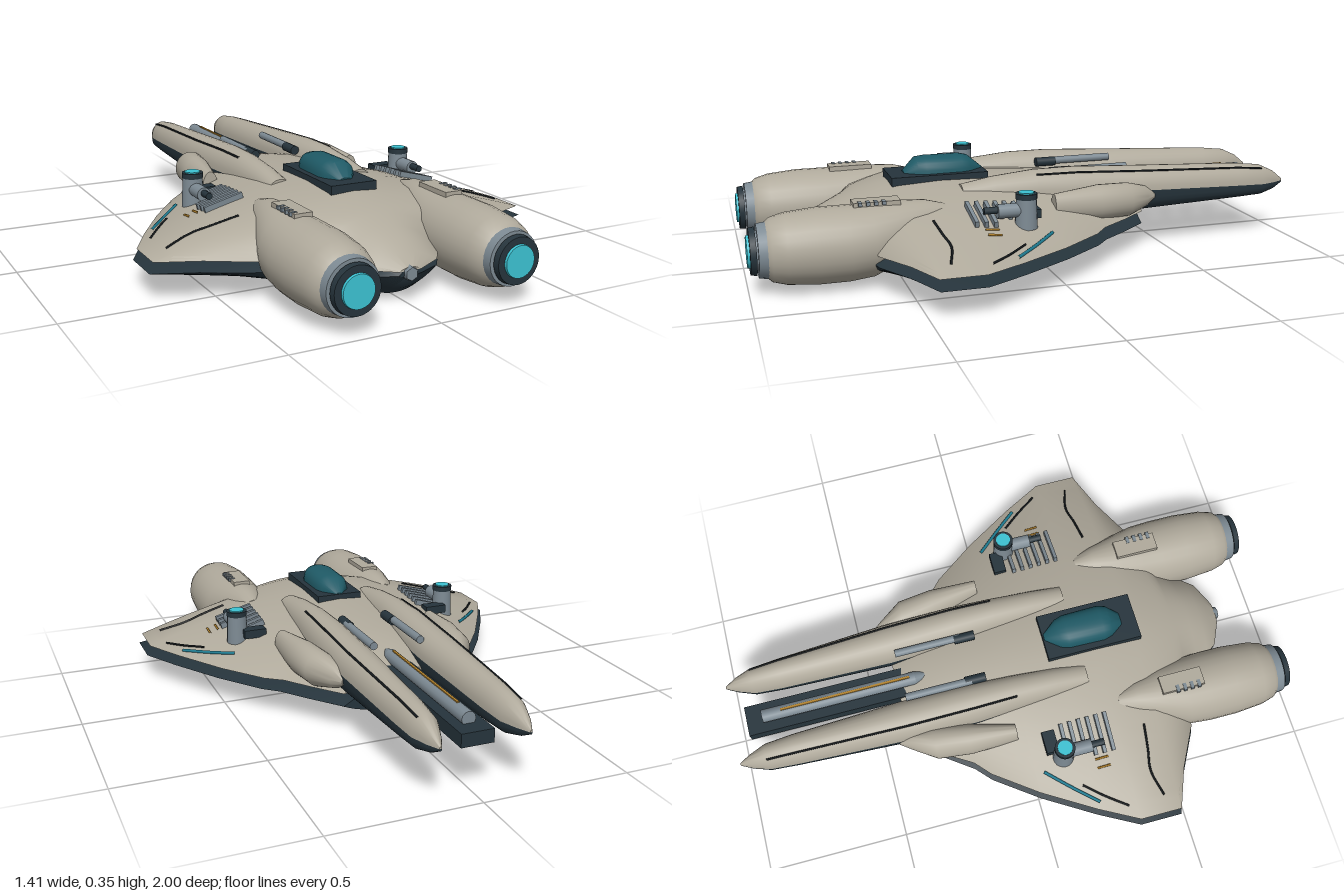
import * as THREE from 'three';
import { toCreasedNormals } from 'three/addons/utils/BufferGeometryUtils.js';

const mat = (name, color) => Object.assign(new THREE.MeshStandardMaterial({ color }), { name });
const M = {
  hull: mat('warm grey hull', 0xb0aa9c),
  dark: mat('dark slate', 0x26343c),
  steel: mat('steel grey', 0x7d8a93),
  glow: mat('cyan glow', 0x3cc3d3),
  glass: mat('teal canopy', 0x1f5a66),
  stripe: mat('teal stripe', 0x1f7f95),
  gold: mat('gold', 0xb5842c),
  line: mat('panel line', 0x14191c),
};

// Skin closed rings (counter-clockwise seen from +z, ordered by rising z)
function loft(rings, crease = 0.7) {
  const pos = [], idx = [], n = rings[0].length;
  rings.forEach(r => r.forEach(p => pos.push(...p)));
  for (let i = 0; i < rings.length - 1; i++) {
    for (let j = 0; j < n; j++) {
      const a = i * n + j, b = i * n + (j + 1) % n, c = b + n, d = a + n;
      idx.push(a, b, c, a, c, d);
    }
  }
  [0, rings.length - 1].forEach((i, end) => {
    const c = pos.length / 3, sum = [0, 0, 0];
    rings[i].forEach(p => p.forEach((v, k) => { sum[k] += v / n; }));
    pos.push(...sum);
    for (let j = 0; j < n; j++) {
      const a = i * n + j, b = i * n + (j + 1) % n;
      idx.push(c, end ? a : b, end ? b : a);
    }
  });
  const g = new THREE.BufferGeometry();
  g.setAttribute('position', new THREE.Float32BufferAttribute(pos, 3));
  g.setIndex(idx);
  return toCreasedNormals(g, crease);
}

// Elliptical pod from stations [z, centre x, half width, top y, middle y, bottom y]
function pod(stations, s, from = 0, to = 2, power = 1) {
  const n = 28, full = to - from === 2;
  return loft(stations.map(([z, cx, rx, top, mid, bot]) =>
    Array.from({ length: full ? n : n / 2 + 1 }, (_, k) => {
      const a = Math.PI * (from + (to - from) * k / (full ? n : n / 2));
      const c = Math.cos(a), q = Math.sin(a);
      const x = Math.sign(c) * Math.abs(c) ** power, y = Math.sign(q) * Math.abs(q) ** power;
      return [cx * s + rx * x, mid + y * (y > 0 ? top - mid : mid - bot), z];
    })));
}

// Hull stations: z, half width, top y, seam y, bottom y, top curve, bottom curve
const HULL = [
  [-0.40, 0.20, 0.20, 0.14, 0.065, 2.5, 3],
  [-0.30, 0.28, 0.235, 0.14, 0.05, 2.2, 2.5],
  [-0.20, 0.34, 0.255, 0.135, 0.043, 2, 2.2],
  [-0.15, 0.395, 0.262, 0.132, 0.04, 1.9, 2],
  [0.00, 0.505, 0.275, 0.13, 0.03, 1.75, 1.7],
  [0.18, 0.615, 0.285, 0.13, 0.022, 1.65, 1.5],
  [0.32, 0.69, 0.288, 0.13, 0.016, 1.55, 1.5],
  [0.47, 0.69, 0.28, 0.13, 0.01, 1.5, 1.5],
  [0.525, 0.55, 0.27, 0.13, 0.008, 1.7, 1.7],
  [0.60, 0.41, 0.25, 0.128, 0.004, 2, 2],
  [0.64, 0.25, 0.235, 0.125, 0.002, 2.3, 2.3],
  [0.70, 0.18, 0.21, 0.122, 0.0, 2.3, 2.3],
  [0.75, 0.155, 0.185, 0.118, 0.012, 2.2, 2.2],
  [0.79, 0.125, 0.155, 0.114, 0.04, 2, 2],
  [0.83, 0.04, 0.12, 0.108, 0.09, 2, 2],
];
function hullTop(x, z) {
  const i = Math.max(1, HULL.findIndex(h => h[0] >= z)), a = HULL[i - 1], b = HULL[i];
  const f = (z - a[0]) / (b[0] - a[0]), [, w, t, e, , p] = a.map((v, k) => v + (b[k] - v) * f);
  return e + (t - e) * (1 - Math.min(1, Math.abs(x) / w) ** p);
}
const N = 28;
const cosines = Array.from({ length: N + 1 }, (_, k) => Math.cos(Math.PI * k / N));
const upperRing = ([z, w, t, e, , p]) => cosines.map(u => [w * u, e + (t - e) * (1 - Math.abs(u) ** p), z]);
function lowerRing([z, w0, , e, b, , p]) {
  const w = w0 + (w0 > 0.3 ? 0.013 : 0), lip = Math.min(0.095, e - 0.005);
  const bottom = cosines.map(u => [-w * u, b + (Math.max(lip, b) - b) * Math.abs(u) ** p, z]);
  return [...bottom, [w * 0.6, e + 0.002, z], [-w * 0.6, e + 0.002, z]];
}

// Prong stations: z, centre x, half width, top y, seam y, bottom y
const PRONG = [
  [-1.0, 0.147, 0.004, 0.207, 0.2, 0.193],
  [-0.96, 0.147, 0.024, 0.24, 0.2, 0.172],
  [-0.90, 0.146, 0.046, 0.268, 0.201, 0.156],
  [-0.80, 0.146, 0.054, 0.28, 0.205, 0.152],
  [-0.40, 0.15, 0.072, 0.3, 0.222, 0.14],
  [-0.15, 0.153, 0.07, 0.314, 0.23, 0.14],
  [0.0, 0.154, 0.062, 0.314, 0.235, 0.14],
  [0.15, 0.155, 0.052, 0.3, 0.24, 0.15],
  [0.265, 0.156, 0.044, 0.28, 0.24, 0.16],
];
const ENGINE = [
  [0.35, 0.275, 0.035, 0.25, 0.21, 0.16],
  [0.42, 0.275, 0.065, 0.268, 0.19, 0.11],
  [0.52, 0.275, 0.1, 0.272, 0.165, 0.06],
  [0.60, 0.28, 0.12, 0.271, 0.147, 0.027],
  [0.68, 0.28, 0.126, 0.27, 0.144, 0.018],
  [0.78, 0.28, 0.126, 0.27, 0.144, 0.018],
  [0.88, 0.28, 0.117, 0.261, 0.144, 0.027],
  [0.925, 0.28, 0.104, 0.248, 0.144, 0.04],
  [0.94, 0.28, 0.09, 0.234, 0.144, 0.054],
];
const SHOULDER = [
  [-0.44, 0.215, 0.008, 0.21, 0.2, 0.19],
  [-0.40, 0.222, 0.03, 0.24, 0.2, 0.165],
  [-0.32, 0.25, 0.058, 0.264, 0.205, 0.145],
  [-0.20, 0.268, 0.054, 0.27, 0.205, 0.145],
  [-0.03, 0.288, 0.028, 0.255, 0.205, 0.16],
];
const CANOPY = [
  [0.15, 0, 0.012, 0.305, 0.295, 0.295],
  [0.20, 0, 0.052, 0.348, 0.295, 0.295],
  [0.23, 0, 0.062, 0.355, 0.295, 0.295],
  [0.36, 0, 0.065, 0.355, 0.295, 0.295],
  [0.39, 0, 0.056, 0.352, 0.295, 0.295],
  [0.435, 0, 0.024, 0.306, 0.295, 0.295],
];

export function createModel() {
  const root = new THREE.Group();
  const add = (name, geo, m, x = 0, y = 0, z = 0) => {
    const mesh = new THREE.Mesh(geo, m);
    mesh.name = name;
    mesh.position.set(x, y, z);
    root.add(mesh);
    return mesh;
  };
  const box = (name, m, w, h, d, x, y, z) => add(name, new THREE.BoxGeometry(w, h, d), m, x, y, z);
  const tubeZ = (name, m, r0, r1, len, x, y, z, n = 32) => // r1 at +z, r0 at -z
    add(name, new THREE.CylinderGeometry(r1, r0, len, n).rotateX(Math.PI / 2), m, x, y, z);
  const wire = (name, m, pts, r) => {
    const path = new THREE.CurvePath();
    pts.slice(1).forEach((p, i) => path.add(new THREE.LineCurve3(pts[i], p)));
    add(name, new THREE.TubeGeometry(path, 24, r, 5), m);
  };
  // Line laid over the wing through (x, z) points
  const wingLine = (name, m, s, pts, r) => {
    const fine = new THREE.CatmullRomCurve3(pts.map(([x, z]) => new THREE.Vector3(x, 0, z))).getPoints(14);
    wire(name, m, fine.map(p => new THREE.Vector3(s * p.x, hullTop(p.x, p.z) + 0.002, p.z)), r);
  };

  // Hull shells
  add('upperHull', loft(HULL.map(upperRing)), M.hull);
  add('lowerHull', loft(HULL.map(lowerRing)), M.dark);
  tubeZ('tailPort', M.steel, 0.026, 0.022, 0.02, 0, 0.1, 0.832, 6);

  // Cockpit
  box('canopyBase', M.dark, 0.17, 0.03, 0.345, 0, 0.286, 0.318);
  add('canopy', pod(CANOPY, 1, 0, 1, 0.8), M.glass);

  // Central rail gun between the prongs
  box('railBed', M.dark, 0.11, 0.045, 0.6, 0, 0.185, -0.65);
  tubeZ('railBarrel', M.steel, 0.024, 0.024, 0.56, 0, 0.222, -0.61, 12);
  tubeZ('railBarrelTip', M.steel, 0.024, 0.008, 0.06, 0, 0.222, -0.3, 12);
  box('railCore', M.gold, 0.008, 0.006, 0.47, 0, 0.246, -0.585);

  for (const s of [1, -1]) {
    // Prongs, shoulder fairings and engine bodies
    add('prongUpper', pod(PRONG, s, 0, 1), M.hull);
    add('prongLower', pod(PRONG, s, 1, 2, 0.75), M.dark);
    add('shoulderFairing', pod(SHOULDER, s), M.hull);
    add('engineBody', pod(ENGINE, s), M.hull);
    wire('prongLine', M.line, PRONG.slice(2, 7).map(([z, cx, rx, top, mid]) =>
      new THREE.Vector3(s * (cx + rx * 0.55), mid + (top - mid) * 0.835 + 0.001, z)), 0.004);

    // Engine nozzle
    const ex = s * 0.28;
    tubeZ('nozzleRing', M.steel, 0.092, 0.088, 0.03, ex, 0.144, 0.952);
    tubeZ('nozzleNeck', M.steel, 0.068, 0.068, 0.02, ex, 0.144, 0.968);
    tubeZ('nozzleRim', M.dark, 0.079, 0.076, 0.02, ex, 0.144, 0.982);
    tubeZ('nozzleGlow', M.glow, 0.054, 0.052, 0.01, ex, 0.144, 0.995);

    // Engine hatch with small clips
    box('engineHatch', M.hull, 0.064, 0.022, 0.155, s * 0.275, 0.27, 0.582);
    for (let i = 0; i < 4; i++) box('hatchClip', M.steel, 0.026, 0.012, 0.012, s * 0.302, 0.277, 0.56 + i * 0.026);

    // Prong cannon
    tubeZ('cannonBarrel', M.steel, 0.014, 0.014, 0.24, s * 0.085, 0.285, -0.26, 12);
    tubeZ('cannonBreech', M.dark, 0.017, 0.017, 0.075, s * 0.082, 0.283, -0.125, 12);

    // Wing turret
    const tx = s * 0.412;
    add('turretBase', new THREE.CylinderGeometry(0.034, 0.038, 0.1, 20), M.steel, tx, 0.232, 0.11);
    add('turretCap', new THREE.CylinderGeometry(0.036, 0.036, 0.018, 24), M.dark, tx, 0.291, 0.11);
    add('turretLight', new THREE.CylinderGeometry(0.026, 0.026, 0.006, 24), M.glow, tx, 0.301, 0.11);
    tubeZ('turretBarrel', M.steel, 0.024, 0.024, 0.09, tx, 0.245, 0.165, 14);
    tubeZ('turretMuzzle', M.dark, 0.012, 0.012, 0.05, tx, 0.25, 0.23, 10);
    box('turretMount', M.dark, 0.08, 0.03, 0.045, s * 0.36, 0.222, 0.075);

    // Cooling bars and gold markers
    for (let i = 0; i < 6; i++) {
      const z = 0.125 + i * 0.032, w = i > 2 ? 0.14 : 0.09, x = 0.305 + w / 2;
      const slope = Math.atan((hullTop(x + 0.04, z) - hullTop(x - 0.04, z)) / 0.08);
      box('coolingBar', M.steel, w, 0.024, 0.013, s * x, hullTop(x, z) + 0.007, z).rotation.z = s * slope;
    }
    for (const x of [0.455, 0.485]) wingLine('goldMarker', M.gold, s, [[x, 0.215], [x, 0.262]], 0.004);

    // Wing stripes and panel lines
    wingLine('wingStripe', M.stripe, s, [[0.445, 0.03], [0.52, 0.11], [0.595, 0.195]], 0.006);
    wingLine('wingEdgeLine', M.line, s, [[0.525, 0.15], [0.58, 0.215], [0.635, 0.29]], 0.004);
    wingLine('wingRearLine', M.line, s, [[0.38, 0.415], [0.47, 0.405], [0.54, 0.395], [0.63, 0.42]], 0.004);
  }
  return root;
}
